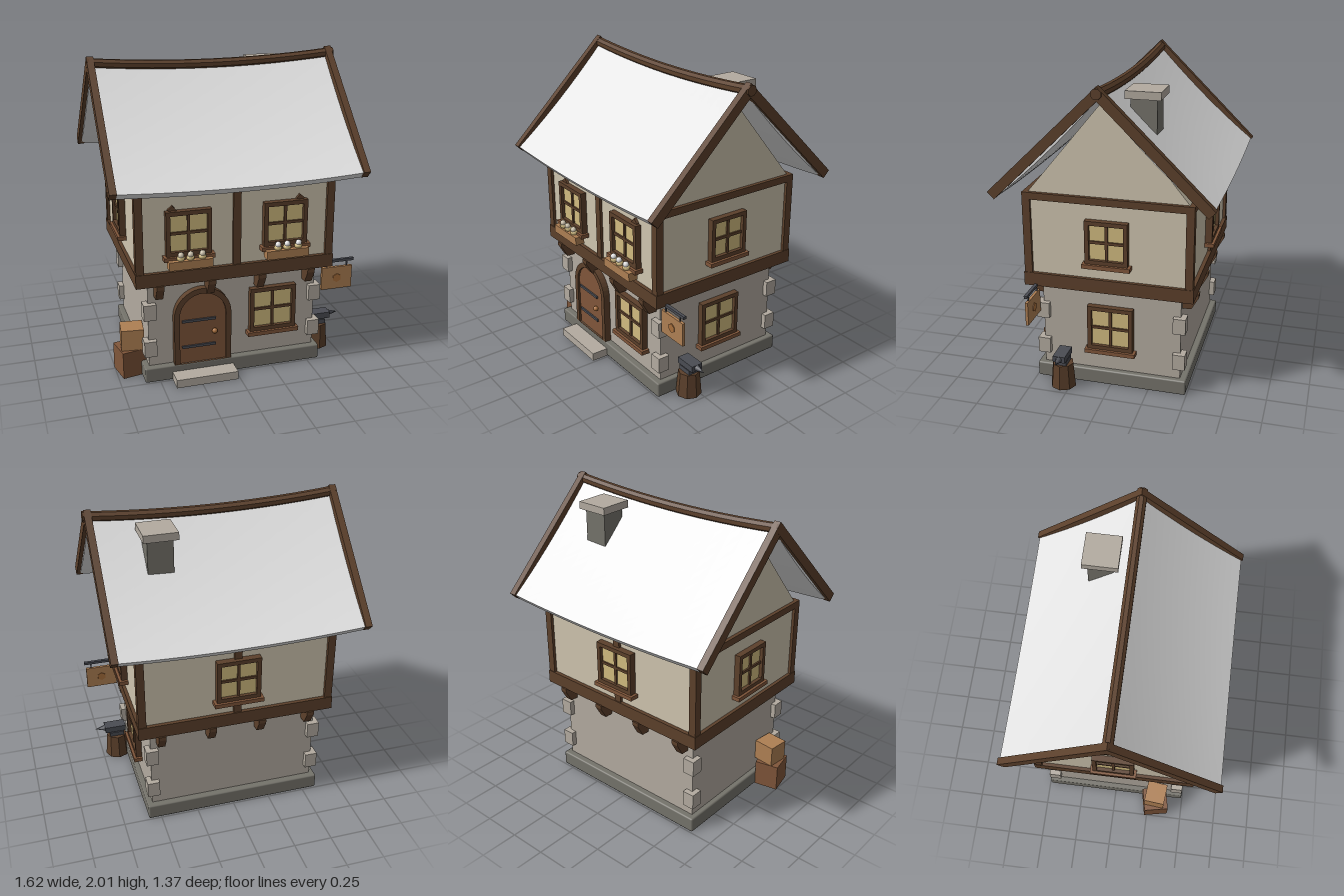
import * as THREE from 'three';
import { RoundedBoxGeometry } from 'three/addons/geometries/RoundedBoxGeometry.js';

const mat = (name, color) => Object.assign(new THREE.MeshStandardMaterial({ color }), { name });
const M = {
  stone: mat('pale stone', 0xb3aba0),
  base: mat('dark stone', 0x75736b),
  plaster: mat('cream plaster', 0xcfc5af),
  beam: mat('dark timber', 0x5c402b),
  brown: mat('brown wood', 0x80563a),
  light: mat('light wood', 0xae7f53),
  glass: mat('lit glass', 0xd2bc80),
  iron: mat('iron', 0x4a4c53),
  roof: mat('pale roof', 0xe4e4e4),
  brass: mat('brass', 0xa86f3c),
};
const CX = -0.007; // house centre line

function add(parent, name, geo, material, x = 0, y = 0, z = 0) {
  const m = new THREE.Mesh(geo, material);
  m.name = name;
  m.position.set(x, y, z);
  parent.add(m);
  return m;
}
const box = (p, name, material, w, h, d, x, y, z) =>
  add(p, name, new THREE.BoxGeometry(w, h, d), material, x, y, z);

function group(parent, name, x = 0, y = 0, z = 0, ry = 0) {
  const g = new THREE.Group();
  g.name = name;
  g.position.set(x, y, z);
  g.rotation.y = ry;
  parent.add(g);
  return g;
}

function polygon(points) {
  return new THREE.Shape(points.map(([x, y]) => new THREE.Vector2(x, y)));
}
const extrude = (shape, depth) =>
  new THREE.ExtrudeGeometry(shape, { depth, bevelEnabled: false, curveSegments: 10 });

// Four-pane window facing local +z, with its back on the wall
function addWindow(parent, name, w, h, x, y, z, ry = 0) {
  const g = group(parent, name, x, y, z, ry), f = 0.027;
  box(g, 'glass', M.glass, w - f, h - f, 0.009, 0, 0, 0.012);
  for (const s of [-1, 1]) {
    box(g, 'frameSide', M.beam, f, h, 0.05, s * (w - f) / 2, 0, 0.015);
    box(g, 'frameRail', M.beam, w - 2 * f, f, 0.05, 0, s * (h - f) / 2, 0.015);
  }
  box(g, 'mullion', M.beam, 0.018, h - 2 * f, 0.026, 0, 0, 0.014);
  box(g, 'crossbar', M.beam, w - 2 * f, 0.018, 0.026, 0, 0, 0.014);
  box(g, 'sill', M.brown, w + 0.035, 0.027, 0.07, 0, -h / 2 - 0.0125, 0.022);
}

// Sagging roof slab for the front slope: t runs from ridge to eave
function roofSlope() {
  const geo = new THREE.BoxGeometry(1.555, 1, 1, 16, 1, 10);
  const p = geo.attributes.position;
  for (let i = 0; i < p.count; i++) {
    const x = p.getX(i), under = 0.5 - p.getY(i), t = p.getZ(i) + 0.5;
    const across = 1 - (x / 0.78) ** 2;
    const sag = across * (0.038 - 0.012 * t) + 0.1 * t * (1 - t);
    p.setXYZ(i, x, 1.968 - 0.63 * t - sag - 0.036 * under, 0.672 * t - 0.03 * under * t);
  }
  geo.computeVertexNormals();
  return geo;
}

function archShape(r, bottom, spring) {
  const s = new THREE.Shape();
  s.moveTo(-r, bottom);
  s.lineTo(r, bottom);
  s.lineTo(r, spring);
  s.absarc(0, spring, r, 0, Math.PI, false);
  s.lineTo(-r, bottom);
  return s;
}

function buildWalls(root) {
  add(root, 'foundation', new RoundedBoxGeometry(1.18, 0.1, 0.986, 1, 0.01), M.base, CX, 0.05, 0);
  box(root, 'lowerWall', M.stone, 1.11, 0.6, 0.9, CX, 0.39, 0);
  for (const sx of [-1, 1]) for (const sz of [-1, 1]) {
    for (const y of [0.23, 0.483])
      box(root, 'cornerStone', M.stone, 0.08, 0.105, 0.08, CX + sx * 0.548, y, sz * 0.445);
    box(root, 'cornerPost', M.beam, 0.05, 0.53, 0.05, CX + sx * 0.614, 1.02, sz * 0.51);
  }
  // Timber-framed upper storey
  box(root, 'floorBeam', M.beam, 1.284, 0.088, 1.08, CX, 0.725, 0);
  box(root, 'upperWall', M.plaster, 1.24, 0.52, 1.03, CX, 1.02, 0);
  box(root, 'topBeam', M.beam, 1.278, 0.045, 1.07, CX, 1.277, 0);
  for (const s of [-1, 1])
    box(root, 'centrePost', M.beam, 0.05, 0.5, 0.022, CX, 1.01, s * 0.522);
  const gable = add(root, 'gable', extrude(polygon([[-0.505, 1.295], [0.505, 1.295], [0, 1.91]]), 1.23), M.plaster, CX - 0.615);
  gable.rotation.y = Math.PI / 2;
  // Corbels under both long sides
  const corbel = extrude(polygon([[0.44, 0.685], [0.44, 0.58], [0.505, 0.58], [0.55, 0.66], [0.55, 0.685]]), 0.048);
  for (const s of [-1, 1]) for (let i = 0; i < 4; i++) {
    const x = CX + (i - 1.5) * 0.328;
    const c = add(root, 'corbel', corbel, M.beam, x + s * 0.024, 0, 0);
    c.rotation.y = -s * Math.PI / 2;
  }
}

function buildRoof(root) {
  const roof = group(root, 'roof', CX);
  const slope = roofSlope();
  const tilt = Math.atan2(0.667, 0.683);
  for (const ry of [0, Math.PI]) {
    const half = group(roof, 'roofHalf', 0, 0, 0, ry);
    add(half, 'roofSlab', slope, M.roof);
    for (const s of [-1, 1]) {
      const b = box(half, 'bargeBoard', M.beam, 0.044, 0.06, 0.955, s * 0.78, 1.654, 0.321);
      b.rotation.x = tilt;
    }
  }
  // Sagging octagonal ridge pole
  const ridge = new THREE.CylinderGeometry(0.033, 0.033, 1.615, 8, 12).toNonIndexed();
  ridge.rotateY(Math.PI / 8).rotateZ(Math.PI / 2);
  const p = ridge.attributes.position;
  for (let i = 0; i < p.count; i++)
    p.setY(i, p.getY(i) + 1.968 - 0.038 * (1 - (p.getX(i) / 0.807) ** 2));
  ridge.computeVertexNormals();
  add(roof, 'ridgePole', ridge, M.beam, 0.005);
  box(root, 'chimney', M.base, 0.16, 0.4, 0.16, 0.398, 1.69, -0.19);
  box(root, 'chimneyCap', M.stone, 0.215, 0.048, 0.218, 0.398, 1.905, -0.19);
}

function buildDoor(root) {
  const d = group(root, 'door', -0.217, 0, 0.45);
  const frame = archShape(0.187, 0.1, 0.428);
  frame.holes.push(archShape(0.152, 0.1, 0.428));
  add(d, 'doorFrame', extrude(frame, 0.045), M.beam);
  add(d, 'doorPanel', extrude(archShape(0.155, 0.1, 0.428), 0.03), M.brown);
  for (const y of [0.215, 0.395]) box(d, 'doorStrap', M.iron, 0.22, 0.017, 0.012, -0.025, y, 0.034);
  add(d, 'doorKnob', new THREE.SphereGeometry(0.018, 10, 8), M.brass, 0.077, 0.31, 0.045);
  box(root, 'doorStep', M.stone, 0.405, 0.055, 0.13, -0.217, 0.0275, 0.54);
}

function buildWindows(root) {
  const q = Math.PI / 2;
  addWindow(root, 'lowerFrontWindow', 0.31, 0.3, 0.255, 0.412, 0.45);
  addWindow(root, 'lowerSideWindow', 0.296, 0.3, CX + 0.555, 0.405, 0, q);
  addWindow(root, 'upperSideWindow', 0.27, 0.28, CX + 0.62, 1.018, 0, q);
  addWindow(root, 'upperSideWindow', 0.27, 0.28, CX - 0.62, 1.018, 0, -q);
  addWindow(root, 'upperBackWindow', 0.285, 0.285, CX, 1.018, -0.52, 2 * q);
  // Upper front windows with flower boxes and brace ends
  for (const s of [-1, 1]) {
    const x = CX + s * 0.31;
    addWindow(root, 'upperFrontWindow', 0.285, 0.285, x, 1.016, 0.515);
    const brace = box(root, 'braceEnd', M.beam, 0.04, 0.06, 0.02, x + s * 0.092, 1.155, 0.522);
    brace.rotation.z = -s * 0.7;
    const b = group(root, 'flowerBox', x, 0.83, 0.572);
    box(b, 'planter', M.light, 0.275, 0.055, 0.064, 0, 0, 0);
    for (const dx of [-0.06, 0, 0.075]) {
      add(b, 'foliage', new THREE.SphereGeometry(0.026, 8, 6), M.glass, dx, 0.04, 0.006).scale.y = 0.8;
      add(b, 'blossom', new THREE.SphereGeometry(0.02, 8, 6), s < 0 ? M.plaster : M.roof, dx, 0.06, 0.01);
    }
  }
}

function buildProps(root) {
  // Hanging sign
  const sign = group(root, 'sign', 0.7, 0.565, 0.465);
  box(sign, 'signBracket', M.iron, 0.225, 0.018, 0.02, 0.003, 0.12, 0);
  box(sign, 'signBoard', M.light, 0.212, 0.154, 0.018, 0, 0, 0);
  for (const s of [-1, 1]) box(sign, 'signHanger', M.iron, 0.008, 0.045, 0.008, s * 0.07, 0.096, 0);
  const disc = add(sign, 'signDisc', new THREE.CylinderGeometry(0.03, 0.03, 0.028, 6), M.brass);
  disc.rotation.x = Math.PI / 2;

  // Anvil on a stump
  const anvil = group(root, 'anvil', 0.645, 0, 0.297);
  const stump = new THREE.CylinderGeometry(0.069, 0.083, 0.165, 8).toNonIndexed();
  stump.computeVertexNormals();
  add(anvil, 'stump', stump, M.beam, 0, 0.0825, 0);
  box(anvil, 'anvilFoot', M.iron, 0.1, 0.03, 0.075, 0, 0.18, 0);
  box(anvil, 'anvilWaist', M.iron, 0.07, 0.03, 0.05, 0, 0.2, 0);
  box(anvil, 'anvilTop', M.iron, 0.145, 0.042, 0.08, 0.01, 0.224, 0);
  const horn = add(anvil, 'anvilHorn', new THREE.ConeGeometry(0.021, 0.07, 8), M.iron, 0.116, 0.224, 0);
  horn.rotation.z = -Math.PI / 2;

  // Stacked crates
  const low = box(root, 'lowerCrate', M.brown, 0.16, 0.18, 0.17, -0.658, 0.09, 0.3);
  low.rotation.y = 0.2;
  const top = box(root, 'upperCrate', M.light, 0.145, 0.14, 0.14, -0.642, 0.25, 0.3);
  top.rotation.y = -0.1;
}

export function createModel() {
  const root = new THREE.Group();
  root.name = 'timberHouse';
  buildWalls(root);
  buildRoof(root);
  buildDoor(root);
  buildWindows(root);
  buildProps(root);
  return root;
}
